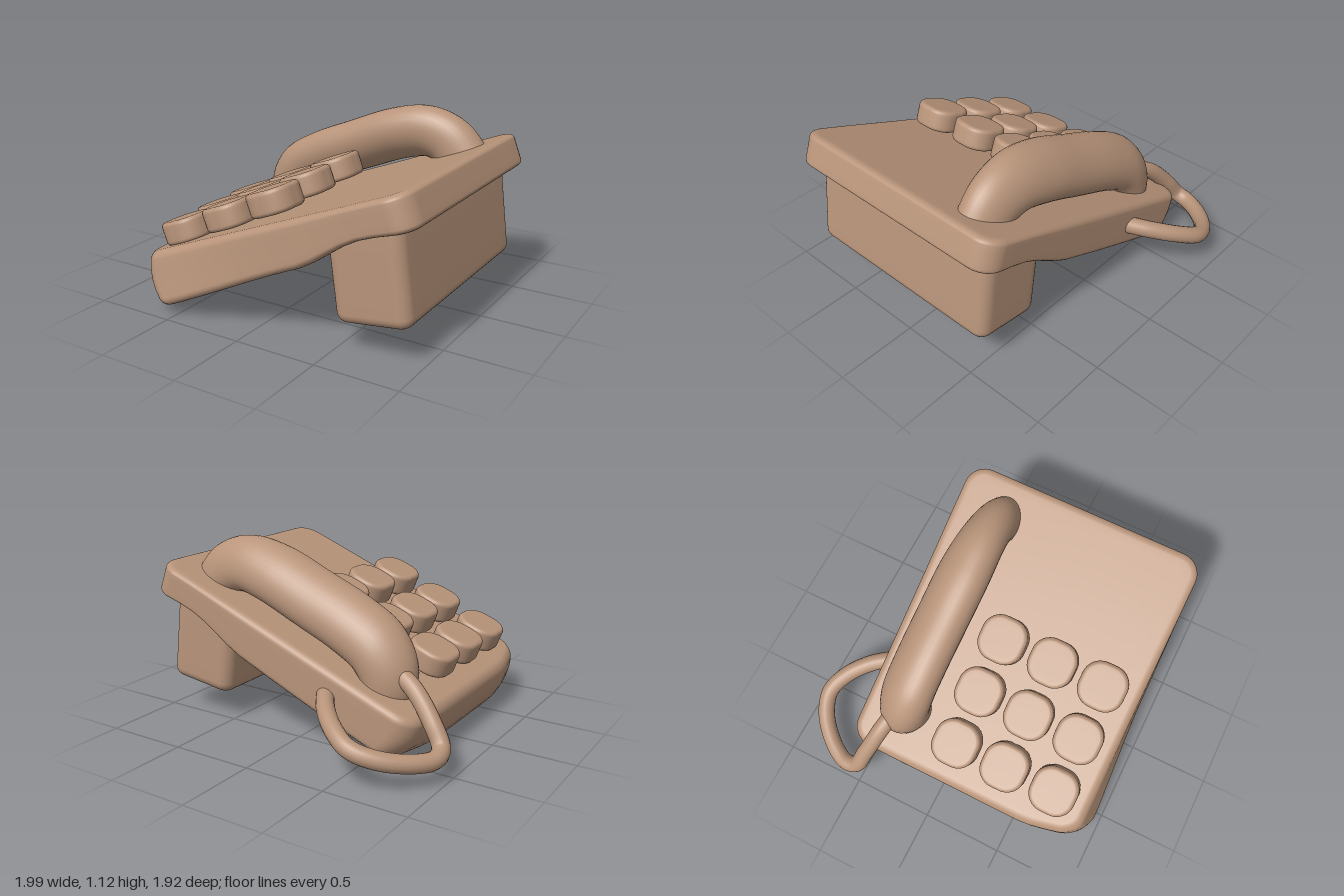
import * as THREE from 'three';
import { mergeVertices } from 'three/addons/utils/BufferGeometryUtils.js';

const material = new THREE.MeshStandardMaterial({ color: 0xb8947a, side: THREE.DoubleSide });
const { lerp, smoothstep } = THREE.MathUtils;
const V = (x, y, z) => new THREE.Vector3(x, y, z);

// Points round a rectangle with rounded corners, counted the same for every size
function roundedRect(w, d, R, sideSteps = 16, cornerSteps = 8) {
  const corners = [[1, 1], [-1, 1], [-1, -1], [1, -1]].map(([sx, sz], k) => {
    const arc = [];
    for (let i = 0; i <= cornerSteps; i++) {
      const a = (k + i / cornerSteps) * Math.PI / 2;
      arc.push([sx * (w / 2 - R) + R * Math.cos(a), sz * (d / 2 - R) + R * Math.sin(a)]);
    }
    return arc;
  });
  const points = [];
  corners.forEach((arc, k) => {
    points.push(...arc);
    const a = arc[cornerSteps], b = corners[(k + 1) % 4][0];
    for (let i = 1; i < sideSteps; i++) {
      const t = i / sideSteps;
      points.push([lerp(a[0], b[0], t), lerp(a[1], b[1], t)]);
    }
  });
  return points;
}

// Soft-edged block standing on y = 0: plan corner radius R, edge radius r, optional warp
function softBlock(w, h, d, R, r, warp = () => {}, capSteps = 6) {
  const rings = [];
  for (let i = 0; i < capSteps; i++) rings.push([i / capSteps, r, 0]);
  for (let i = 0; i <= 5; i++) {
    const a = i / 5 * Math.PI / 2;
    rings.push([1, r * (1 - Math.sin(a)), r * (1 - Math.cos(a))]);
  }
  const lower = rings.slice();
  for (let i = 1; i < 4; i++) rings.push([1, 0, lerp(r, h - r, i / 4)]);
  lower.reverse().forEach(([s, inset, y]) => rings.push([s, inset, h - y]));

  const positions = [], index = [];
  rings.forEach(([s, inset, y], j) => {
    const ring = roundedRect(w - 2 * inset, d - 2 * inset, R - inset);
    const n = ring.length;
    ring.forEach(([x, z], i) => {
      const p = V(x * s, y, z * s);
      warp(p);
      positions.push(p.x, p.y, p.z);
      if (j === rings.length - 1) return;
      const a = j * n + i, b = j * n + (i + 1) % n;
      index.push(a, a + n, b, b, a + n, b + n);
    });
  });
  const g = new THREE.BufferGeometry();
  g.setAttribute('position', new THREE.Float32BufferAttribute(positions, 3));
  g.setIndex(index);
  g.computeVertexNormals();
  return g;
}

function add(parent, name, geometry, x = 0, y = 0, z = 0) {
  const mesh = new THREE.Mesh(geometry, material);
  mesh.name = name;
  mesh.position.set(x, y, z);
  parent.add(mesh);
  return mesh;
}

// Sloping body: thick at the low end, thinner above the foot
const thickness = u => lerp(0.335, 0.262, smoothstep(u, -0.9, 0.25))
  - 0.08 * smoothstep(u, 0.17, 0.62) + 0.018 * smoothstep(u, 0.65, 0.93);

function bodyWarp(p) {
  const low = 1 - p.y / 0.3, u = p.x;
  const leftness = smoothstep(-u, -0.1, 0.9), leftEdge = smoothstep(-u, 0.55, 0.93);
  const ends = smoothstep(Math.abs(p.z - 0.2), 0.3, 0.9);
  const front = smoothstep(p.z, 0.4, 0.77), back = smoothstep(-p.z, 0.4, 0.77);
  p.y = -low * (thickness(u) - 0.05 * ends * leftness);
  p.x += leftness * (0.02 * low * low - 0.035 * Math.sin(low * Math.PI));
  // Fuller rounding at the low corners, and a swelling lower front edge
  p.x += leftEdge * (0.06 * front + 0.04 * back * low);
  if (p.z > 0) p.z += (0.055 * leftness + 0.015 * smoothstep(-u, -0.8, 0)) * low * p.z / 0.77;
}

// Arched handset: flattened tube with a forward-leaning crown and slimmer ends
function handsetGeometry() {
  const curve = new THREE.CatmullRomCurve3([
    V(-0.635, -0.1, 0), V(-0.62, 0.05, 0), V(-0.5, 0.15, 0), V(-0.3, 0.187, 0), V(0, 0.194, 0),
    V(0.3, 0.194, 0), V(0.5, 0.155, 0), V(0.62, 0.06, 0), V(0.675, -0.08, 0),
  ]);
  const g = new THREE.TubeGeometry(curve, 80, 0.16, 32);
  const pos = g.attributes.position;
  for (let i = 0; i < pos.count; i++) {
    const u = pos.getX(i);
    const slim = 1 - 0.25 * smoothstep(u, 0.2, 0.84) - 0.15 * smoothstep(-u, 0.5, 0.8);
    const z = pos.getZ(i) * 1.06 * slim;
    pos.setY(i, pos.getY(i) + 0.25 * z);
    pos.setZ(i, z + 0.03 * u);
  }
  g.deleteAttribute('uv');
  g.deleteAttribute('normal');
  const smooth = mergeVertices(g);
  smooth.computeVertexNormals();
  return smooth;
}

export function createModel() {
  const phone = new THREE.Group();
  phone.name = 'telephone';

  // Everything on the slope shares one tilted frame whose y = 0 is the top face
  const slope = new THREE.Group();
  slope.name = 'slopingTop';
  slope.position.set(0.065, 0.635, 0);
  slope.rotation.z = 0.37;
  phone.add(slope);
  add(slope, 'body', softBlock(1.87, 0.3, 1.535, 0.13, 0.045, bodyWarp, 24), -0.005, 0, 0.135);

  // Three by three keypad, rising slightly off the face toward the back right
  const keys = new THREE.Group();
  keys.name = 'keypad';
  slope.add(keys);
  for (let col = 0; col < 3; col++) {
    for (let row = 0; row < 3; row++) {
      add(keys, 'key', softBlock(0.285, 0.14, 0.285, 0.115, 0.025),
        -0.668 + 0.342 * col, -0.006 + 0.018 * col + 0.009 * (2 - row), 0.025 + 0.325 * row);
    }
  }

  add(slope, 'handset', handsetGeometry(), 0, 0, -0.355);

  // Foot under the raised end
  const foot = add(phone, 'foot', softBlock(0.45, 0.57, 1.38, 0.075, 0.06), 0.735, 0.195, 0.14);
  foot.rotation.z = 0.13;

  // Cord looping from the handset to the back of the body
  const cord = new THREE.CatmullRomCurve3([
    V(-0.58, 0.5, -0.4), V(-0.72, 0.425, -0.44), V(-0.86, 0.28, -0.49), V(-0.935, 0.17, -0.53),
    V(-0.945, 0.14, -0.61), V(-0.88, 0.145, -0.73), V(-0.74, 0.18, -0.86), V(-0.6, 0.225, -0.905),
    V(-0.47, 0.28, -0.85), V(-0.34, 0.33, -0.73), V(-0.24, 0.36, -0.58),
  ]);
  add(phone, 'cord', new THREE.TubeGeometry(cord, 90, 0.052, 16));

  return phone;
}
